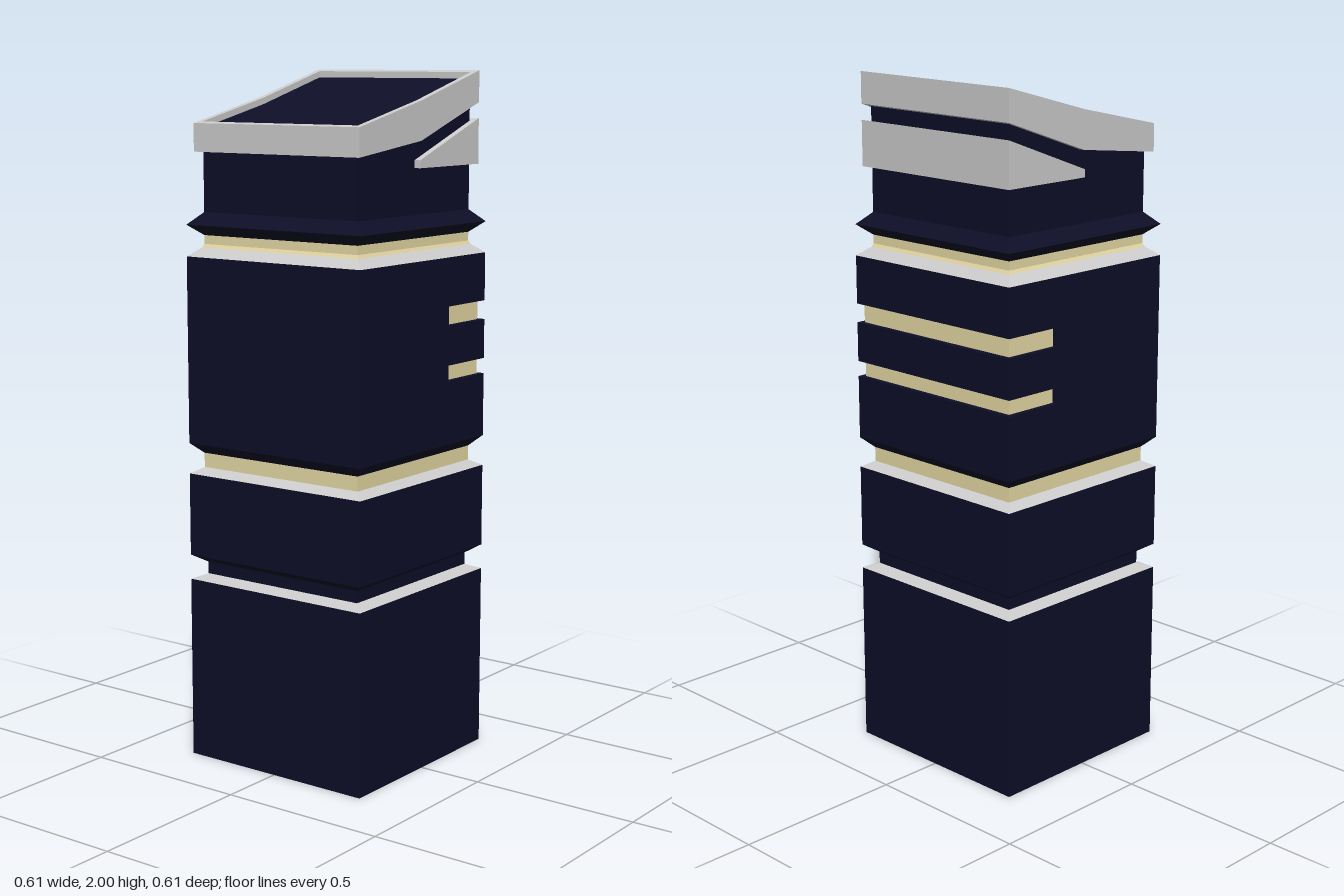
import * as THREE from 'three';

const mat = (color) => new THREE.MeshStandardMaterial({ color, flatShading: true, side: THREE.DoubleSide });

export function createModel() {
  const tower = new THREE.Group();
  tower.name = 'tower';
  const navy = mat(0x0e0e28), grey = mat(0xcccccc), cream = mat(0xe6d9a5);
  const W = 0.306, N = 0.27, R = 0.289; // half widths: block, neck, roof trim

  const add = (name, geometry, material) => {
    const mesh = new THREE.Mesh(geometry, material);
    mesh.name = name;
    tower.add(mesh);
    return mesh;
  };
  // Square shell swept up a profile of [half width, height]
  const shell = (name, material, profile) => add(name, new THREE.LatheGeometry(
    profile.map(([h, y]) => new THREE.Vector2(h * Math.SQRT2, y)), 4, Math.PI / 4), material);
  // Box given by its limits
  const block = (name, material, x0, x1, y0, y1, hz) => {
    const g = new THREE.BoxGeometry(x1 - x0, y1 - y0, 2 * hz);
    add(name, g.translate((x0 + x1) / 2, (y0 + y1) / 2, 0), material);
  };
  // Front outline extruded between two depths
  const slab = (name, material, points, z0, z1) => {
    const shape = new THREE.Shape(points.map(([x, y]) => new THREE.Vector2(x, y)));
    const g = new THREE.ExtrudeGeometry(shape, { depth: z1 - z0, bevelEnabled: false });
    add(name, g.translate(0, 0, z0), material);
  };

  // Base and lower neck
  shell('base', navy, [[0, 0], [W, 0], [W, 0.535]]);
  shell('baseLedge', grey, [[W, 0.535], [N, 0.55]]);
  shell('lowerBlock', navy, [[N, 0.55], [N, 0.585], [W, 0.608], [W, 0.85]]);

  // Middle light band
  shell('middleLedge', grey, [[W, 0.85], [0.275, 0.868]]);
  shell('middleLightBand', cream, [[0.275, 0.868], [0.275, 0.91]]);
  shell('middleFlare', navy, [[0.275, 0.91], [W, 0.94]]);

  // Main block, split by two window slots that wrap the left side
  const slots = [[1.125, 1.17], [1.285, 1.34]];
  let floor = 0.94;
  for (const [y0, y1] of slots) {
    block('mainBlock', navy, -W, W, floor, y0, W);
    block('slotBacking', navy, -W, 0.12, y0, y1, W);
    block('slotWindow', cream, 0.12, 0.291, y0, y1, 0.291);
    floor = y1;
  }
  block('mainBlock', navy, -W, W, floor, 1.48, W);

  // Upper light band and the pointed cornice
  shell('upperLedge', grey, [[W, 1.48], [0.275, 1.505]]);
  shell('upperLightBand', cream, [[0.275, 1.505], [N, 1.515], [N, 1.54]]);
  shell('cornice', navy, [[N, 1.54], [W, 1.57], [N, 1.605]]);

  // Head with a kinked sloping roof
  const rimTop = (x) => (x < 0 ? 1.92 + x * 0.225 : 1.92 + x * 0.277);
  const rimBase = (x) => (x < 0 ? 1.81 + x * 0.121 : 1.81 + x * 0.346);
  const I = 0.271, drop = 0.018;
  slab('head', navy, [[-N, 1.6], [N, 1.6], [N, rimTop(N) - drop],
    [0, rimTop(0) - drop], [-N, rimTop(-N) - drop]], -N, N);

  // Roof rim: front and back plates, then the two ends
  const rim = (xs) => [...xs.map((x) => [x, rimBase(x)]), ...[...xs].reverse().map((x) => [x, rimTop(x)])];
  slab('rimFront', grey, rim([-R, 0, R]), I, R);
  slab('rimBack', grey, rim([-R, 0, R]), -R, -I);
  slab('rimLeft', grey, rim([I, R]), -I, I);
  slab('rimRight', grey, rim([-R, -I]), -I, I);

  // Wedge trim under the high end of the roof
  slab('wedgeTrim', grey, [[-0.005, 1.735], [R, 1.735], [R, 1.865], [-0.005, 1.757]], -R, R);

  return tower;
}
